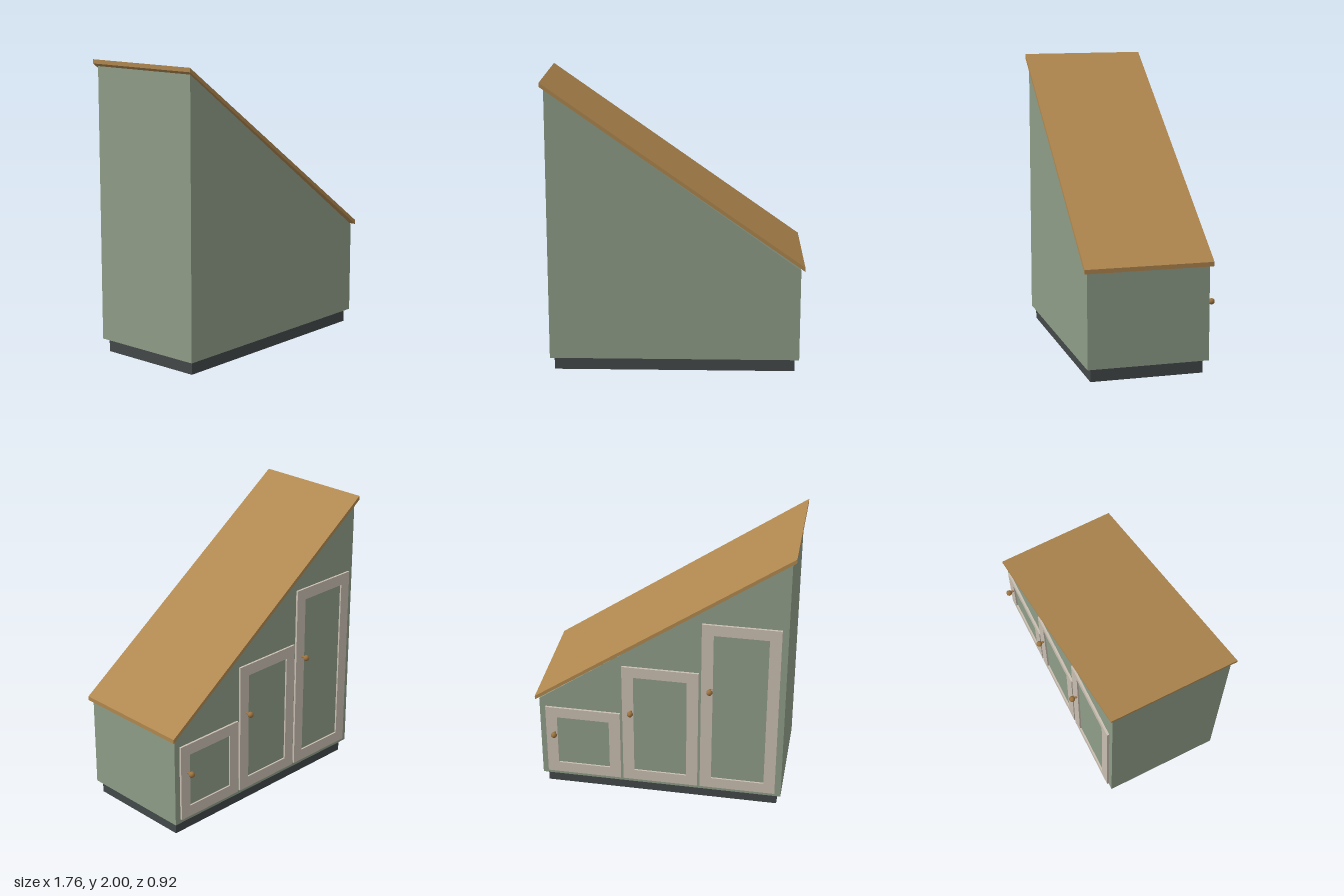
import * as THREE from 'three';

const material = (name, color) => {
  const m = new THREE.MeshStandardMaterial({ color });
  m.name = name;
  return m;
};

export function createModel() {
  const green = material('sage green paint', 0x8f9d88);
  const wood = material('oak top', 0xb0874f);
  const stone = material('door frame greige', 0xc9beb1);
  const dark = material('plinth charcoal', 0x434849);
  const brass = material('aged brass', 0x9c7340);

  const model = new THREE.Group();
  model.name = 'slopedCabinet';

  const add = (parent, name, geometry, mat, x = 0, y = 0, z = 0) => {
    const mesh = new THREE.Mesh(geometry, mat);
    mesh.name = name;
    mesh.position.set(x, y, z);
    parent.add(mesh);
    return mesh;
  };

  // Extrude an outline in x/y between two depths
  const prism = (points, z0, z1, holes = []) => {
    const toVec = ([x, y]) => new THREE.Vector2(x, y);
    const shape = new THREE.Shape(points.map(toVec));
    holes.forEach((h) => shape.holes.push(new THREE.Path(h.map(toVec))));
    return new THREE.ExtrudeGeometry(shape, { depth: z1 - z0, bevelEnabled: false }).translate(0, 0, z0);
  };
  const rect = (x0, y0, x1, y1) => [[x0, y0], [x1, y0], [x1, y1], [x0, y1]];

  // Recessed plinth
  add(model, 'plinth', new THREE.BoxGeometry(1.65, 0.09, 0.766), dark, 0, 0.045, 0.028);

  // Body with sloping top edge
  const backZ = -0.388;
  add(model, 'body', prism([[-0.855, 0.09], [0.855, 0.09], [0.855, 0.73], [-0.855, 1.955]], backZ, 0.438), green);

  // Overhanging sloped top board with vertical ends
  add(model, 'slopedTop', prism([[-0.88, 1.972], [0.88, 0.73], [0.88, 0.759], [-0.88, 2]], -0.41, 0.46), wood);

  // Three doors on the back, stepping up under the slope
  const pitch = 0.5475, width = 0.53, stile = 0.08, bottom = 0.12;
  const frontZ = backZ - 0.015;
  [0.55, 0.944, 1.337].forEach((height, i) => {
    const door = new THREE.Group();
    door.name = `door${i + 1}`;
    door.position.set(pitch * (1 - i), bottom, 0);
    model.add(door);

    const w = width / 2;
    const opening = rect(-w + stile, stile, w - stile, height - stile);
    add(door, 'doorFrame', prism(rect(-w, 0, w, height), frontZ, backZ, [opening]), stone);
    add(door, 'doorPanel', prism(opening, backZ - 0.003, backZ), green);

    // Round knob on a short stem
    const knobX = w - 0.0625, knobY = height * 0.62;
    const stem = new THREE.CylinderGeometry(0.008, 0.008, 0.03, 12).rotateX(Math.PI / 2);
    add(door, 'knobStem', stem, brass, knobX, knobY, frontZ - 0.014);
    add(door, 'knob', new THREE.SphereGeometry(0.021, 14, 10), brass, knobX, knobY, -0.439);
  });

  return model;
}
